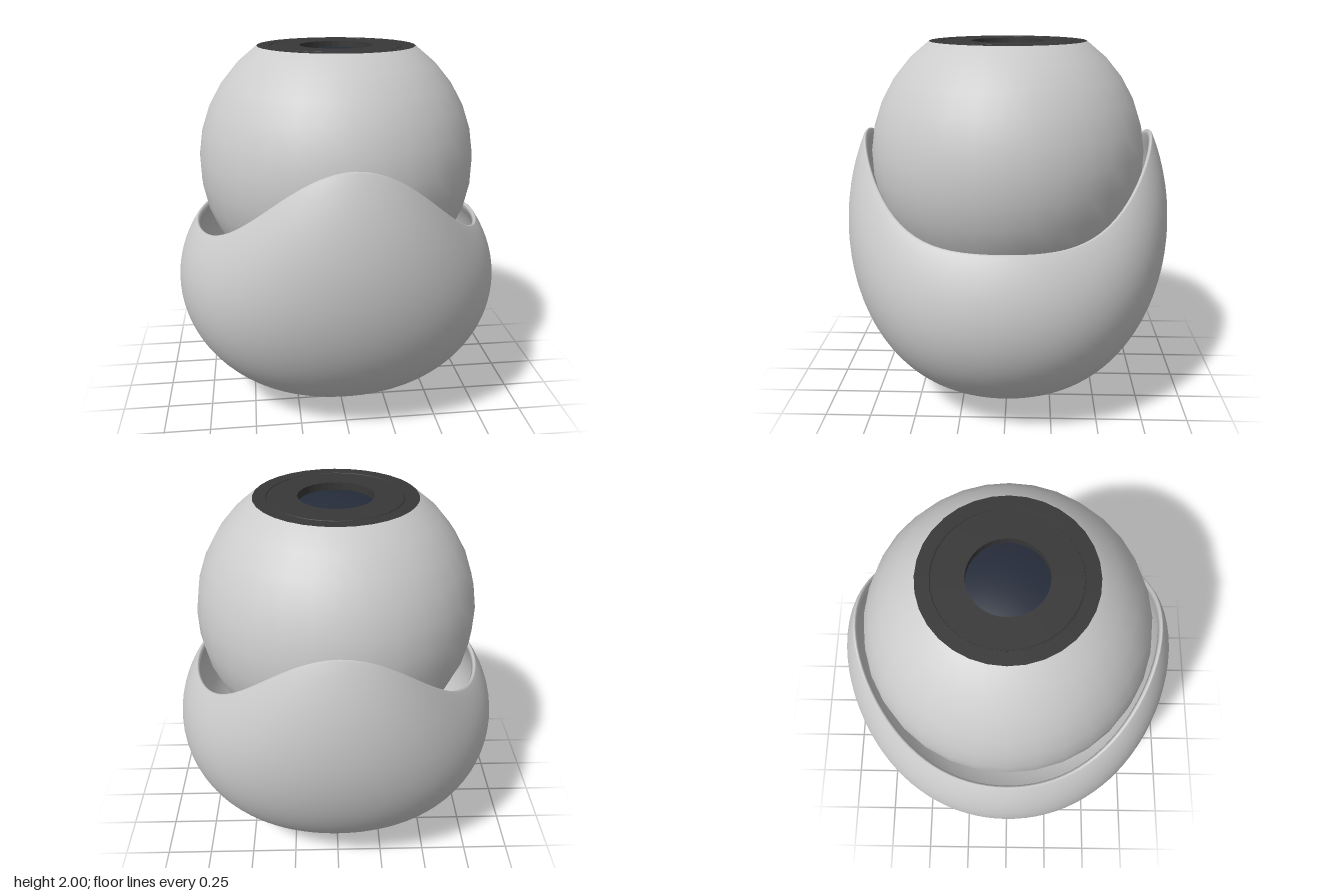
import * as THREE from 'three';
import { mergeVertices } from 'three/addons/utils/BufferGeometryUtils.js';

const v = (x, y) => new THREE.Vector2(x, y);

// Rounded cup whose rim rises to a peak at the front and back
function shellGeometry() {
  const end = 2.063, steps = 32, profile = [];
  const arc = (rx, ry, t) => v(rx * Math.sin(end * t), 0.72 - ry * Math.cos(end * t));
  for (let i = 0; i <= steps; i++) profile.push(arc(0.9, 0.72, i / steps));
  profile.push(v(0.785, 1.066), v(0.776, 1.062));
  for (let i = steps; i >= 0; i--) profile.push(arc(0.873, 0.69, i / steps));

  let geo = new THREE.LatheGeometry(profile, 96);
  const p = geo.attributes.position;
  for (let i = 0; i < p.count; i++) {
    const x = p.getX(i), y = p.getY(i), z = p.getZ(i);
    const c2 = (z * z) / Math.max(x * x + z * z, 1e-9);
    p.setY(i, y + 0.45 * Math.pow(Math.max(y, 0) / 1.06, 1.2) * c2 * c2);
  }
  geo.deleteAttribute('normal');
  geo.deleteAttribute('uv');
  geo = mergeVertices(geo, 1e-5);
  geo.computeVertexNormals();
  return geo;
}

export function createModel() {
  const group = new THREE.Group();
  const grey = new THREE.MeshStandardMaterial({ color: 0xcccccc });
  const dark = new THREE.MeshStandardMaterial({ color: 0x383838, flatShading: true });
  const blue = new THREE.MeshStandardMaterial({ color: 0x262d3b });
  const add = (name, geo, mat, y = 0) => {
    const mesh = new THREE.Mesh(geo, mat);
    mesh.name = name;
    mesh.position.y = y;
    group.add(mesh);
  };

  add('baseShell', shellGeometry(), grey);

  // Ball resting in the shell, cut flat at the top
  const cut = Math.acos(0.62 / 0.75);
  add('ball', new THREE.SphereGeometry(0.75, 32, 14, 0, Math.PI * 2, cut, Math.PI - cut), grey, 1.38);

  // Flat face plate with a fine groove and a recess for the lens
  const plate = [[0.422, 2], [0.354, 2], [0.352, 1.996], [0.348, 1.996], [0.346, 2], [0.195, 2], [0.195, 1.95]];
  add('facePlate', new THREE.LatheGeometry(plate.map(([x, y]) => v(x, y)), 32), dark);

  // Shallow domed lens inside the recess
  const dome = [];
  for (let i = 0; i <= 8; i++) {
    const r = 0.195 * (1 - i / 8);
    dome.push(v(r, 1.985 - 0.025 * (r / 0.195) ** 2));
  }
  add('lens', new THREE.LatheGeometry(dome, 32), blue);

  return group;
}
